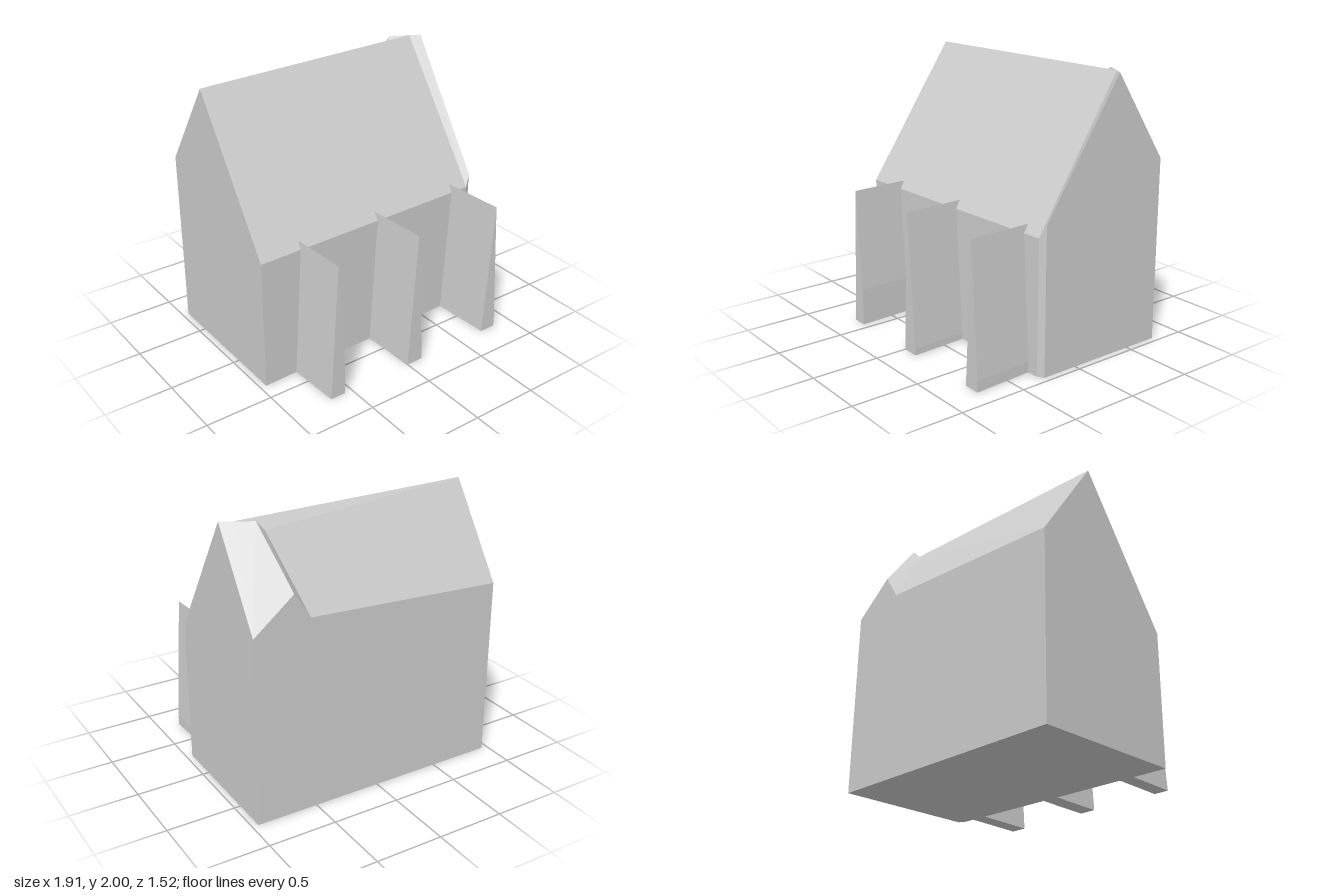
import * as THREE from 'three';

// Named corners of the building
const P = {
  // ground
  gFrontL: [-0.955, 0, 0.37], gFrontR: [0.91, 0, 0.307], gSideF: [0.955, 0, 0.28],
  gSideB: [0.955, 0, -0.762], gBackL: [-0.955, 0, -0.762],
  // eaves
  eFrontL: [-0.955, 0.98, 0.37], eFrontR: [0.91, 0.98, 0.307], eSideF: [0.955, 1.07, 0.28],
  eSideB: [0.955, 1.36, -0.762], eBackL: [-0.955, 1.34, -0.762],
  notchLow: [0.54, 1.415, -0.762], notchHigh: [0.66, 1.6, -0.762],
  // ridge
  ridgeL: [-0.955, 2, -0.315], ridgeR: [0.88, 2, -0.38], peak: [0.955, 2, -0.335],
  crestLow: [0.68, 1.925, -0.435], crestHigh: [0.75, 2, -0.45],
};

// Flat faces, each fanned out from its first corner
function faces(name, material, polygons) {
  const pos = [];
  for (const poly of polygons) {
    for (let i = 1; i < poly.length - 1; i++) pos.push(...poly[0], ...poly[i], ...poly[i + 1]);
  }
  const geo = new THREE.BufferGeometry();
  geo.setAttribute('position', new THREE.Float32BufferAttribute(pos, 3));
  geo.computeVertexNormals();
  const mesh = new THREE.Mesh(geo, material);
  mesh.name = name;
  return mesh;
}

const named = (lists) => lists.map((s) => s.split(' ').map((k) => P[k]));

// Wedge-shaped buttress that drifts sideways towards the wall
function buttress(left, ridge, right, kink, zBack, material) {
  const zFront = 0.762, shear = 0.05;
  const section = (z) => [[left, 0], [right, 0], [right, kink], [ridge, 1.037]]
    .map(([x, y]) => [x - (zFront - z) * shear, y, z]);
  const f = section(zFront), b = section(zBack);
  const sides = f.map((p, i) => {
    const j = (i + 1) % f.length;
    return [p, b[i], b[j], f[j]];
  });
  return faces('buttress', material, [f, [...b].reverse(), ...sides]);
}

export function createModel() {
  const group = new THREE.Group();
  group.name = 'building';
  const stone = new THREE.MeshStandardMaterial({ color: 0xcccccc });
  stone.name = 'light grey';

  // Walls and floor
  group.add(faces('walls', stone, named([
    'gFrontL gFrontR eFrontR eFrontL',
    'gFrontR gSideF eSideF eFrontR',
    'gSideF gSideB eSideB peak eSideF',
    'notchLow notchHigh eSideB gSideB gBackL eBackL',
    'gBackL gFrontL eFrontL ridgeL eBackL',
    'gBackL gSideB gSideF gFrontR gFrontL',
  ])));

  // Roof slopes with the raised rear corner
  group.add(faces('roof', stone, named([
    'eFrontL eFrontR ridgeR ridgeL',
    'eFrontR eSideF peak ridgeR',
    'crestLow notchLow eBackL ridgeL ridgeR',
    'notchHigh notchLow crestLow crestHigh',
    'eSideB notchHigh crestHigh ridgeR peak',
    'crestLow ridgeR crestHigh',
  ])));

  // Front buttresses: left, ridge and right x, kink height, rear z
  for (const [l, m, r, k, z] of [
    [-0.675, -0.61, -0.56, 0.28, 0.33],
    [0, 0.065, 0.13, 0.05, 0.3],
    [0.72, 0.785, 0.845, 0.08, 0.28],
  ]) group.add(buttress(l, m, r, k, z, stone));

  return group;
}
